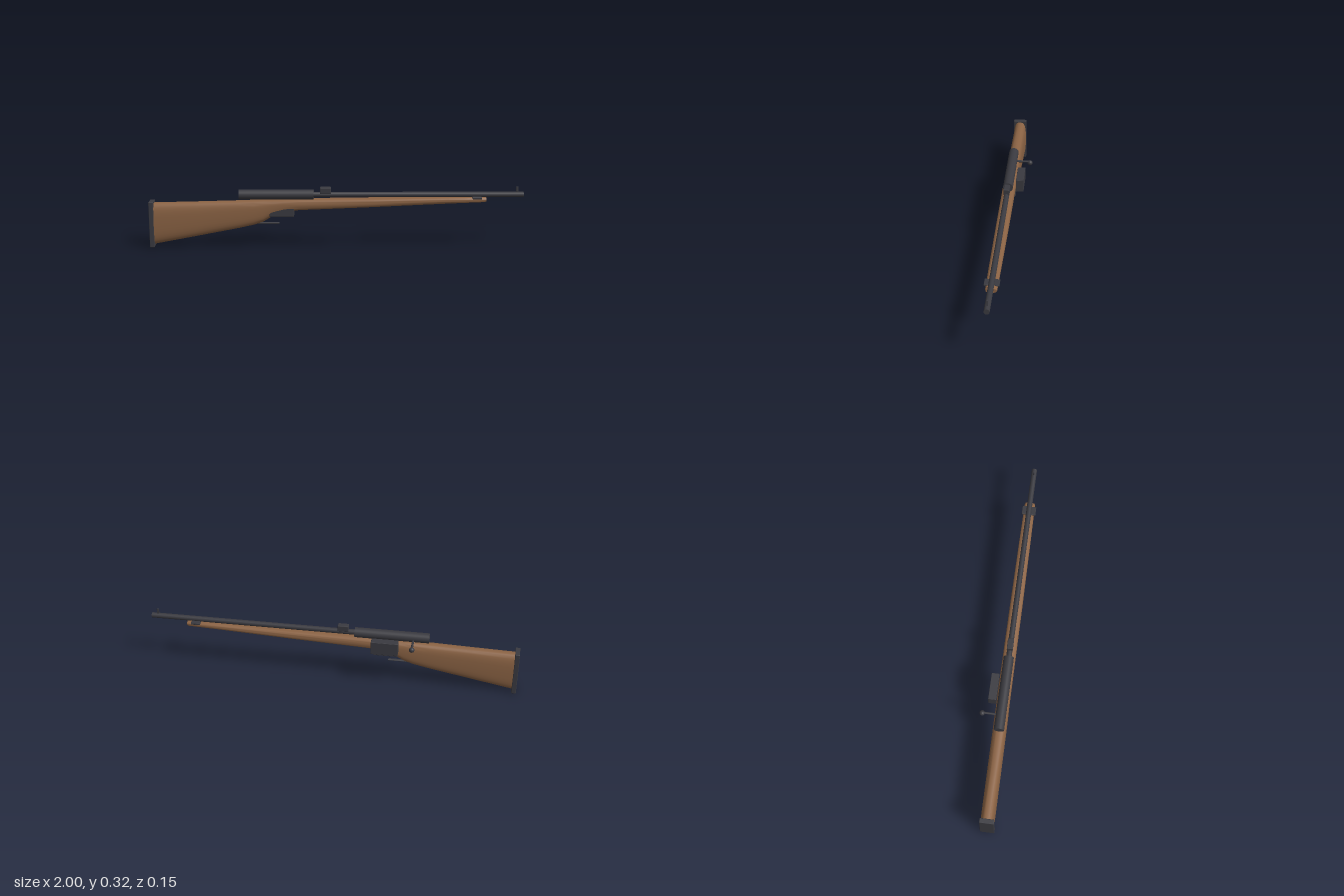
import * as THREE from 'three';
import { toCreasedNormals } from 'three/addons/utils/BufferGeometryUtils.js';
import { RoundedBoxGeometry } from 'three/addons/geometries/RoundedBoxGeometry.js';

const AXIS_Z = 0.038; // centre plane of the long body

// Closed loft along x through rounded sections [x, bottom, top, halfWidth]
function loft(sections, sides = 32, power = 3) {
  const pos = [], idx = [];
  const curve = (v) => Math.sign(v) * Math.abs(v) ** (2 / power);
  for (const [x, bottom, top, half] of sections) {
    for (let j = 0; j < sides; j++) {
      const a = (j / sides) * Math.PI * 2;
      pos.push(x, (bottom + top) / 2 + curve(Math.sin(a)) * (top - bottom) / 2, AXIS_Z + curve(Math.cos(a)) * half);
    }
  }
  const last = sections.length - 1;
  for (let i = 0; i < last; i++) {
    for (let j = 0; j < sides; j++) {
      const k = (j + 1) % sides;
      const a = i * sides + j, b = a + sides, c = i * sides + k, d = c + sides;
      idx.push(a, b, c, b, d, c);
    }
  }
  // end caps
  for (let j = 1; j < sides - 1; j++) {
    idx.push(0, j, j + 1);
    idx.push(last * sides, last * sides + j + 1, last * sides + j);
  }
  const g = new THREE.BufferGeometry();
  g.setAttribute('position', new THREE.Float32BufferAttribute(pos, 3));
  g.setIndex(idx);
  return toCreasedNormals(g, 0.7);
}

export function createModel() {
  const model = new THREE.Group();
  model.name = 'rifle';
  const wood = new THREE.MeshStandardMaterial({ color: 0x8b6344 });
  wood.name = 'walnut wood';
  const metal = new THREE.MeshStandardMaterial({ color: 0x3a3a40 });
  metal.name = 'dark steel';

  const add = (name, geometry, material = metal) => {
    const mesh = new THREE.Mesh(geometry, material);
    mesh.name = name;
    model.add(mesh);
    return mesh;
  };
  // Softened box given by its limits
  const box = (name, x0, x1, y0, y1, z0, z1, r = 0.002) =>
    add(name, new RoundedBoxGeometry(x1 - x0, y1 - y0, z1 - z0, 2, r)
      .translate((x0 + x1) / 2, (y0 + y1) / 2, (z0 + z1) / 2));
  // Round bar along x
  const bar = (name, x0, x1, y, r) =>
    add(name, new THREE.CylinderGeometry(r, r, x1 - x0, 24).rotateZ(-Math.PI / 2)
      .translate((x0 + x1) / 2, y, AXIS_Z));

  // Wooden stock from butt to fore-end
  add('stock', loft([
    [-0.98, 0.012, 0.239, 0.036],
    [-0.75, 0.056, 0.244, 0.036],
    [-0.52, 0.101, 0.25, 0.036],
    [-0.44, 0.119, 0.253, 0.036],
    [-0.39, 0.136, 0.255, 0.035],
    [-0.34, 0.167, 0.256, 0.035],
    [-0.28, 0.188, 0.258, 0.035],
    [-0.2, 0.2, 0.26, 0.035],
    [0.2, 0.217, 0.265, 0.034],
    [0.6, 0.236, 0.27, 0.031],
    [0.79, 0.244, 0.272, 0.029],
    [0.8, 0.247, 0.27, 0.026],
  ]), wood);
  box('buttPlate', -1, -0.975, 0, 0.248, 0, 0.076, 0.003);

  // Receiver and barrel
  bar('receiver', -0.52, -0.12, 0.283, 0.027);
  bar('barrel', -0.14, 1, 0.283, 0.0145);

  // Sights
  box('rearSight', -0.087, -0.028, 0.288, 0.323, AXIS_Z - 0.016, AXIS_Z + 0.016, 0.004);
  box('frontSight', 0.96, 0.972, 0.29, 0.325, AXIS_Z - 0.003, AXIS_Z + 0.003, 0.001);

  // Magazine floor, side box and fore-end band
  box('magazine', -0.355, -0.225, 0.168, 0.213, AXIS_Z - 0.034, AXIS_Z + 0.034);
  box('sideBox', -0.36, -0.215, 0.204, 0.277, -0.04, 0.002);
  box('foreEndBand', 0.725, 0.775, 0.265, 0.275, 0, 0.076);

  // Thin flattened bar below the wrist
  add('triggerGuard', new THREE.CylinderGeometry(0.009, 0.009, 0.115, 12)
    .rotateZ(Math.PI / 2).scale(1, 0.5, 1).translate(-0.362, 0.126, AXIS_Z));

  // Bolt handle with round knob on the right side
  const handle = add('boltHandle', new THREE.CylinderGeometry(0.006, 0.006, 0.09, 12).rotateX(Math.PI / 2));
  handle.position.set(-0.435, 0.273, -0.015);
  const knob = add('boltKnob', new THREE.SphereGeometry(0.0145, 20, 14));
  knob.position.set(-0.435, 0.266, -0.0605);

  return model;
}
